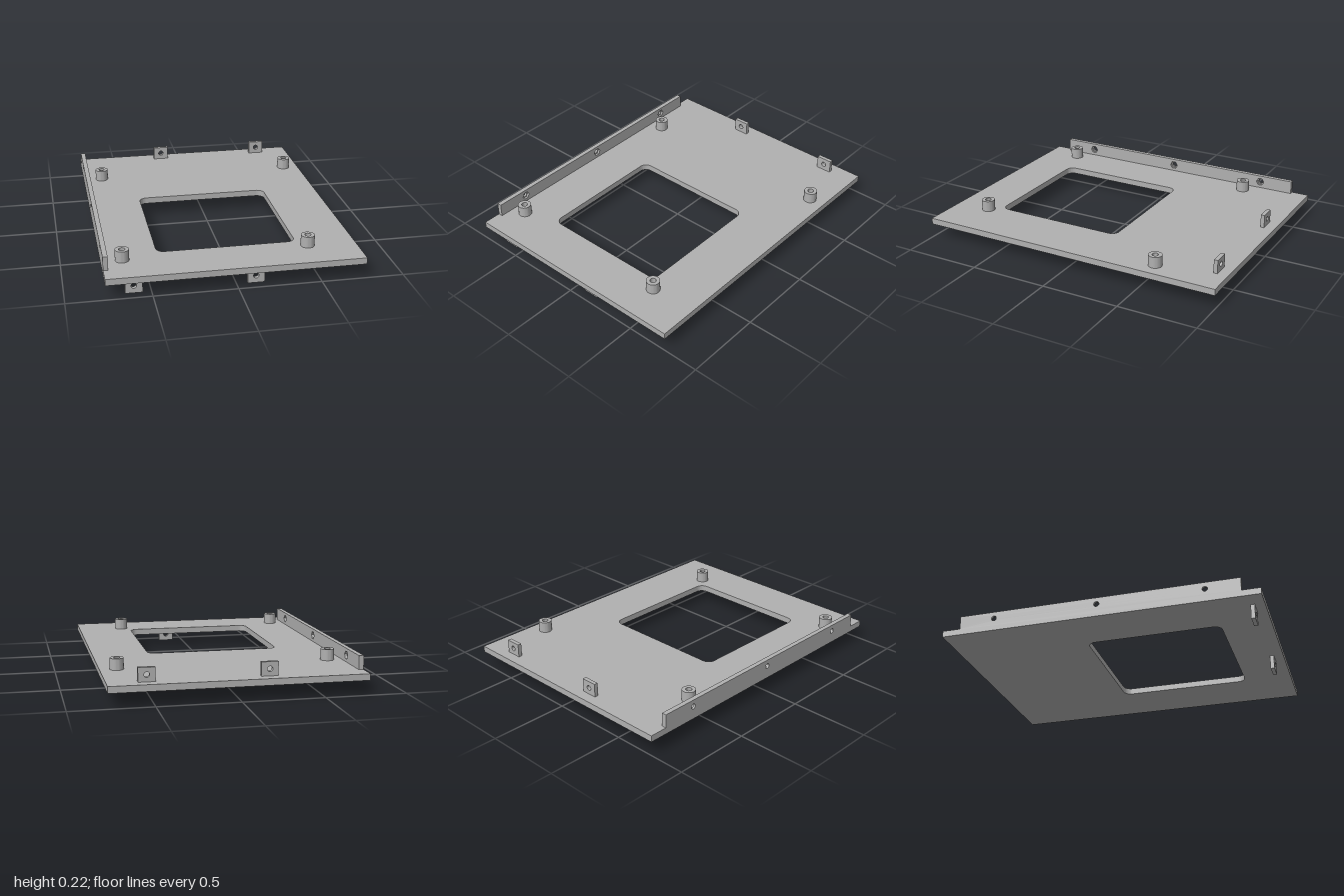
import * as THREE from 'three';
import { toCreasedNormals } from 'three/addons/utils/BufferGeometryUtils.js';

const grey = new THREE.MeshStandardMaterial({ color: 0xb0b0b0 });
grey.name = 'grey';

// Closed outlines used for bodies and holes
function rect(x0, y0, x1, y1) {
  return new THREE.Shape([[x0, y0], [x1, y0], [x1, y1], [x0, y1]].map(p => new THREE.Vector2(...p)));
}

function roundedRect(x0, y0, x1, y1, r) {
  const s = new THREE.Path();
  s.absarc(x1 - r, y0 + r, r, -Math.PI / 2, 0);
  s.absarc(x1 - r, y1 - r, r, 0, Math.PI / 2);
  s.absarc(x0 + r, y1 - r, r, Math.PI / 2, Math.PI);
  s.absarc(x0 + r, y0 + r, r, Math.PI, Math.PI * 1.5);
  s.closePath();
  return s;
}

function circle(x, y, r) {
  return new THREE.Shape().absarc(x, y, r, 0, Math.PI * 2);
}

function hexagon(x, y, r) {
  const pts = [];
  for (let i = 0; i < 6; i++) {
    const a = i * Math.PI / 3;
    pts.push(new THREE.Vector2(x + r * Math.cos(a), y + r * Math.sin(a)));
  }
  return new THREE.Path(pts);
}

// Extruded outline with holes, smooth on curves and sharp at edges
function slab(name, shape, holes, depth) {
  shape.holes.push(...holes);
  const geo = new THREE.ExtrudeGeometry(shape, { depth, bevelEnabled: false, curveSegments: 24 });
  const mesh = new THREE.Mesh(toCreasedNormals(geo, 0.6), grey);
  mesh.name = name;
  return mesh;
}

export function createModel() {
  const model = new THREE.Group();
  model.name = 'mountingPlate';
  const bottom = 0.09, top = 0.13, railTop = 0.215;

  // Base plate with a rounded window
  const plate = slab('basePlate', rect(-0.77, -1, 0.77, 1), [roundedRect(-0.435, -0.16, 0.415, 0.695, 0.05)], top - bottom);
  plate.rotation.x = Math.PI / 2;
  plate.position.y = top;
  model.add(plate);

  // Side rail: screw holes outside, hexagonal nut pockets inside
  const rail = new THREE.Group();
  rail.name = 'sideRail';
  const holeZ = [-0.66, 0.005, 0.67];
  const layers = [
    ['railNutLayer', -0.74, z => hexagon(z, 0.172, 0.027)],
    ['railScrewLayer', -0.755, z => circle(z, 0.172, 0.0165)],
  ];
  for (const [name, x, hole] of layers) {
    const layer = slab(name, rect(-0.885, top, 0.885, railTop), holeZ.map(hole), 0.015);
    layer.rotation.y = -Math.PI / 2;
    layer.position.x = x;
    rail.add(layer);
  }
  model.add(rail);

  // Screw tabs: two above the back edge, two below the front edge
  const tabs = [
    ['backTab', -0.18, top, railTop, -0.934],
    ['backTab', 0.54, top, railTop, -0.934],
    ['frontTab', -0.602, 0, bottom, 0.915],
    ['frontTab', 0.117, 0, bottom, 0.915],
  ];
  for (const [name, x, y0, y1, z] of tabs) {
    const holeY = y0 === 0 ? 0.045 : 0.172;
    const tab = slab(name, rect(-0.051, y0, 0.051, y1), [circle(0, holeY, 0.0165)], 0.025);
    tab.position.set(x, 0, z);
    model.add(tab);
  }

  // Hollow standoffs
  for (const [x, z] of [[-0.648, -0.57], [0.666, -0.57], [-0.648, 0.765], [0.472, 0.765]]) {
    const standoff = slab('standoff', circle(0, 0, 0.042), [circle(0, 0, 0.019)], 0.07);
    standoff.rotation.x = Math.PI / 2;
    standoff.position.set(x, 0.2, z);
    model.add(standoff);
  }
  return model;
}
